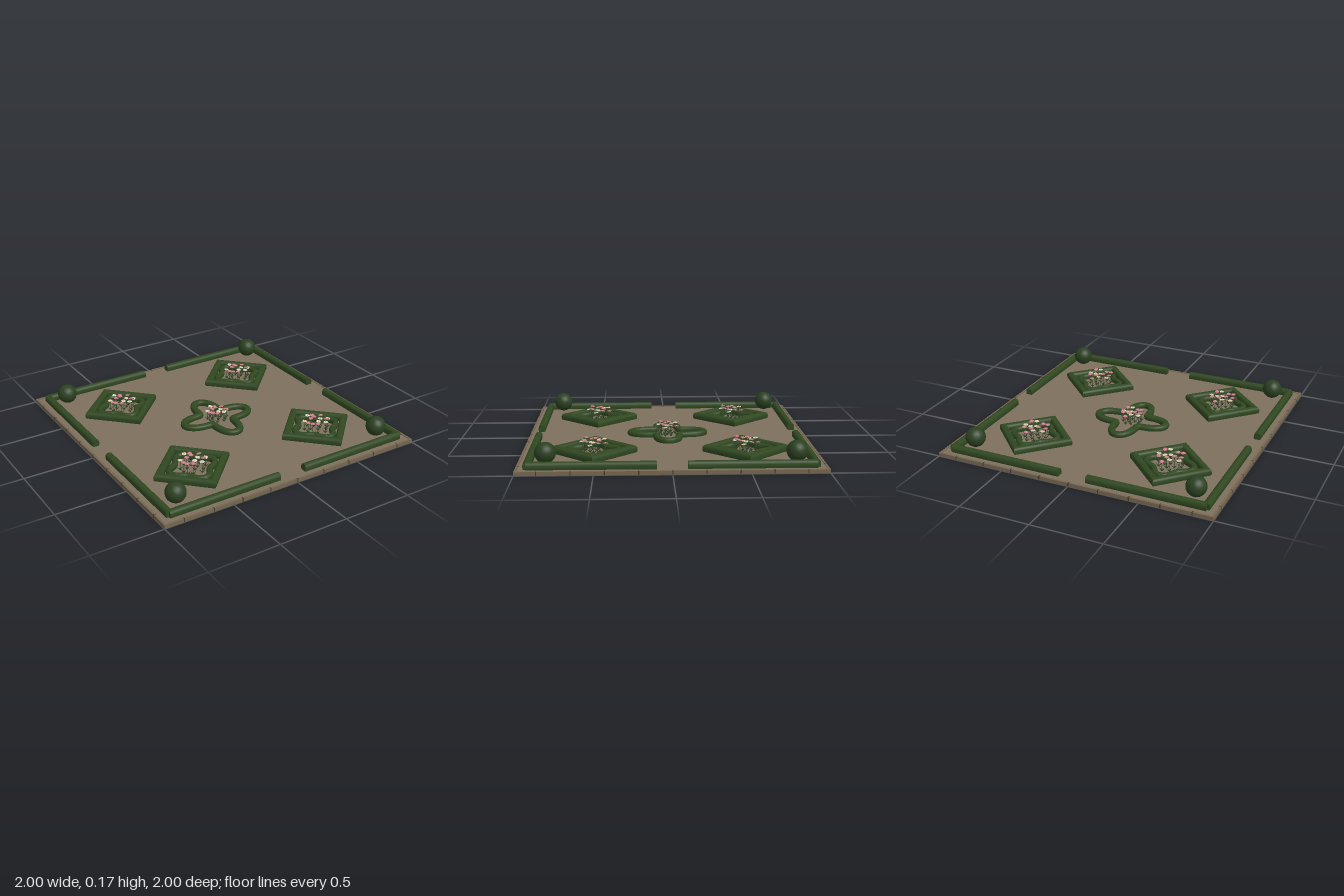
import * as THREE from 'three';
import { toCreasedNormals } from 'three/addons/utils/BufferGeometryUtils.js';

const mat = (name, color) => new THREE.MeshStandardMaterial({ name, color });
const M = {
  gravel: mat('gravel', 0x7d705d),
  kerb: mat('kerb stone', 0x75664f),
  joint: mat('stone joint', 0x453b2f),
  hedge: mat('hedge green', 0x304821),
  topiary: mat('topiary green', 0x2a4020),
  leaf: mat('leaf green', 0x35492a),
  pink: mat('pink petal', 0xd27c92),
  cream: mat('cream petal', 0xe2d9c2),
  heart: mat('flower heart', 0xc9ab62),
};
M.leaf.side = THREE.DoubleSide;

const GROUND = 0.021;

function add(parent, name, geometry, material, x = 0, y = 0, z = 0) {
  const mesh = new THREE.Mesh(geometry, material);
  mesh.name = name;
  mesh.position.set(x, y, z);
  parent.add(mesh);
  return mesh;
}

// Clipped hedge: a rounded section swept with mitred corners along [x, z] points
function hedgeGeometry(path, closed, width, top) {
  const h = top - GROUND, w = width / 2;
  const section = [[-0.88, 0], [-1, 0.25], [-1, 0.58], [-0.86, 0.82], [-0.5, 0.97], [0, 1],
    [0.5, 0.97], [0.86, 0.82], [1, 0.58], [1, 0.25], [0.88, 0]];
  const n = path.length, k = section.length;
  const normal = (a, b) => {
    const dx = b[0] - a[0], dz = b[1] - a[1], l = Math.hypot(dx, dz);
    return [-dz / l, dx / l];
  };
  const pos = [], idx = [];
  path.forEach((p, i) => {
    const prev = closed || i > 0 ? normal(path[(i + n - 1) % n], p) : null;
    const next = closed || i < n - 1 ? normal(p, path[(i + 1) % n]) : null;
    const a = prev || next, b = next || prev;
    const s = 1 + a[0] * b[0] + a[1] * b[1];
    const mx = (a[0] + b[0]) / s, mz = (a[1] + b[1]) / s;
    for (const [u, v] of section) pos.push(p[0] + mx * u * w, GROUND + v * h, p[1] + mz * u * w);
  });
  for (let i = 0; i < (closed ? n : n - 1); i++) {
    for (let j = 0; j < k - 1; j++) {
      const a = i * k + j, c = ((i + 1) % n) * k + j;
      idx.push(a, a + 1, c, a + 1, c + 1, c);
    }
  }
  if (!closed) {
    const e = (n - 1) * k;
    for (let j = 1; j < k - 1; j++) idx.push(0, j + 1, j, e, e + j, e + j + 1);
  }
  const g = new THREE.BufferGeometry();
  g.setAttribute('position', new THREE.Float32BufferAttribute(pos, 3));
  g.setIndex(idx);
  return toCreasedNormals(g, 0.75);
}

// Four-lobed outline
function quatrefoil(mean, swing) {
  return Array.from({ length: 72 }, (_, i) => {
    const t = (i / 72) * Math.PI * 2, r = mean + swing * Math.cos(4 * t);
    return [r * Math.cos(t), r * Math.sin(t)];
  });
}

// Flat star-shaped disc for petals and leaves
function rosette(points, outer, inner, thick) {
  const shape = new THREE.Shape();
  for (let i = 0; i < points * 2; i++) {
    const r = i % 2 ? inner : outer, t = (i / points) * Math.PI;
    shape[i ? 'lineTo' : 'moveTo'](r * Math.cos(t), r * Math.sin(t));
  }
  const g = new THREE.ExtrudeGeometry(shape, { depth: thick, bevelEnabled: false });
  return g.rotateX(-Math.PI / 2);
}

const petals = rosette(8, 0.018, 0.013, 0.004);
const calyx = rosette(7, 0.023, 0.009, 0.002);
const heart = new THREE.SphereGeometry(0.0045, 8, 6);
const stem = new THREE.CylinderGeometry(0.0018, 0.0022, 1, 5);
const blade = new THREE.ConeGeometry(0.005, 0.032, 4).scale(1, 1, 0.35).translate(0, 0.016, 0);

// Plant positions: x, z, 1 for pink
const PLANTS = [
  [0.027, -0.08, 1], [-0.022, -0.068, 0], [0.07, -0.03, 1], [-0.075, -0.03, 0],
  [-0.035, -0.012, 1], [0.012, -0.035, 1], [0.04, 0.003, 0], [0.09, 0.022, 0],
  [-0.07, 0.055, 1], [-0.03, 0.065, 1], [0.005, 0.025, 0], [0.058, 0.05, 1],
  [0.03, 0.078, 0], [-0.075, 0.012, 1],
];

function flowerBed(name, scale, drop) {
  const bed = new THREE.Group();
  bed.name = name;
  PLANTS.forEach(([x, z, isPink], i) => {
    const plant = new THREE.Group();
    plant.name = 'flower';
    plant.position.set(x * scale, GROUND, z * scale);
    const h = 0.07 + ((i * 5) % 7) * 0.0035 - drop;
    add(plant, 'stem', stem, M.leaf, 0, h / 2, 0).scale.y = h;
    const head = new THREE.Group();
    head.name = 'flowerHead';
    head.position.y = h;
    head.rotation.set(0.12 * Math.sin(i * 2.1), i, 0.12 * Math.cos(i * 1.7));
    add(head, 'calyx', calyx, M.leaf, 0, -0.003, 0);
    add(head, 'petals', petals, isPink ? M.pink : M.cream);
    add(head, 'heart', heart, M.heart, 0, 0.004, 0);
    plant.add(head);
    for (let b = 0; b < 4; b++) {
      const leaf = add(plant, 'leafBlade', blade, M.leaf, 0, 0.004, 0);
      leaf.rotation.set(0, i + (b * Math.PI) / 2, 0.75);
    }
    bed.add(plant);
  });
  return bed;
}

// Clipped ball with a finely ruffled surface
function topiaryGeometry() {
  const g = new THREE.SphereGeometry(0.07, 28, 20);
  const p = g.attributes.position, v = new THREE.Vector3();
  for (let i = 0; i < p.count; i++) {
    v.fromBufferAttribute(p, i);
    const f = Math.sin(v.x * 190) * Math.sin(v.y * 170 + 1) * Math.sin(v.z * 180 + 2);
    v.multiplyScalar(1 + 0.02 * f);
    p.setXYZ(i, v.x, v.y, v.z);
  }
  g.computeVertexNormals();
  return g;
}

export function createModel() {
  const model = new THREE.Group();
  model.name = 'formalGarden';

  // Gravel slab and the kerb around it
  add(model, 'gravelSlab', new THREE.BoxGeometry(1.97, GROUND, 1.97), M.gravel, 0, GROUND / 2, 0);
  const kerbBox = new THREE.BoxGeometry(1.97, 0.025, 0.015);
  const jointBox = new THREE.BoxGeometry(0.008, 0.0245, 0.0164);
  for (let s = 0; s < 4; s++) {
    const side = new THREE.Group();
    side.name = 'kerbSide';
    side.rotation.y = (s * Math.PI) / 2;
    add(side, 'kerb', kerbBox, M.kerb, 0, 0.0125, 0.9925);
    add(side, 'kerbCorner', new THREE.BoxGeometry(0.015, 0.025, 0.015), M.kerb, 0.9925, 0.0125, 0.9925);
    for (let i = 0; i < 9; i++) add(side, 'kerbJoint', jointBox, M.joint, (i - 4) * 0.215, 0.013, 0.992);
    model.add(side);
  }

  // Boundary hedges with a gateway in the middle of each side
  const wall = hedgeGeometry([[0.1, 0.925], [0.93, 0.925]], false, 0.05, 0.07);
  for (let s = 0; s < 4; s++) {
    for (const shift of [0, -1.03]) {
      const hedge = add(model, 'boundaryHedge', wall, M.hedge);
      hedge.rotation.y = (s * Math.PI) / 2;
      hedge.translateX(shift);
    }
  }

  // Corner beds: diamond hedge, inner four-lobed hedge, flowers and a ball
  const diamond = hedgeGeometry([[0.26, 0], [0, 0.26], [-0.26, 0], [0, -0.26]], true, 0.05, 0.07);
  const innerLobes = hedgeGeometry(quatrefoil(0.145, 0.025), true, 0.04, 0.06);
  const ball = topiaryGeometry();
  for (const sx of [-1, 1]) {
    for (const sz of [-1, 1]) {
      const bed = new THREE.Group();
      bed.name = 'cornerBed';
      bed.position.set(sx * 0.515, 0, sz * 0.515);
      add(bed, 'diamondHedge', diamond, M.hedge);
      add(bed, 'innerHedge', innerLobes, M.hedge);
      bed.add(flowerBed('cornerFlowers', 1, 0));
      model.add(bed);
      add(model, 'topiaryBall', ball, M.topiary, sx * 0.815, 0.102, sz * 0.815);
    }
  }

  // Centre bed
  add(model, 'centreHedge', hedgeGeometry(quatrefoil(0.195, 0.07), true, 0.05, 0.058), M.hedge);
  model.add(flowerBed('centreFlowers', 0.82, 0.006));
  return model;
}
